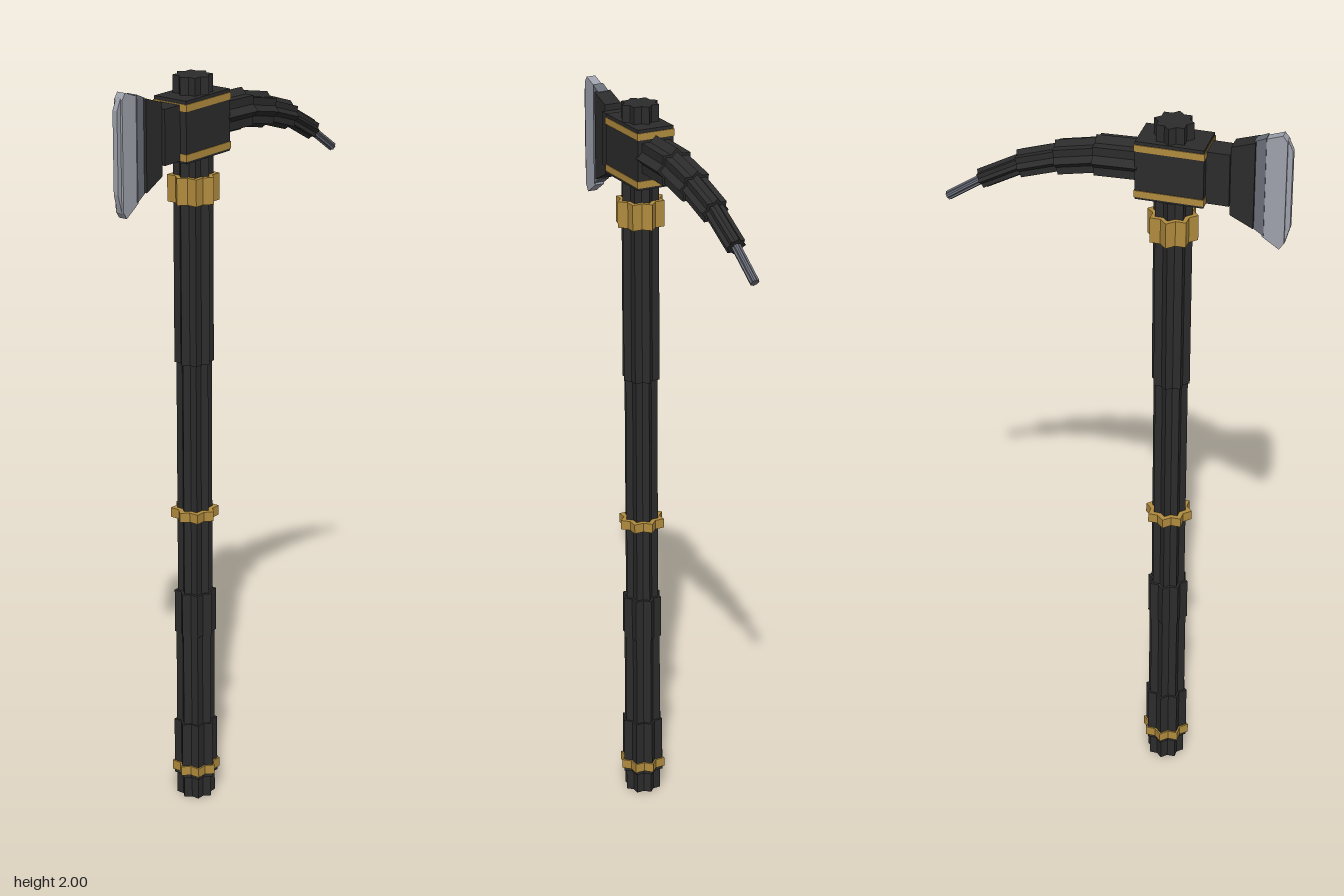
import * as THREE from 'three';

const mat = (name, color) => {
  const m = new THREE.MeshStandardMaterial({ color });
  m.name = name;
  return m;
};

export function createModel() {
  const black = mat('black', 0x2c2c2c);
  const gold = mat('gold', 0xb28c3e);
  const steel = mat('steel', 0x9fa3ad);
  const darkSteel = mat('dark steel', 0x6a6e78);

  const group = new THREE.Group();
  const AX = -0.15; // shaft axis
  const HY = 1.868; // head centre height

  const add = (name, geometry, material) => {
    const mesh = new THREE.Mesh(geometry, material);
    mesh.name = name;
    group.add(mesh);
    return mesh;
  };

  // Eight-pointed prism (two crossed squares) along +z
  const star = (r, length) => {
    const pts = [];
    for (let i = 0; i < 16; i++) {
      const a = (i * Math.PI) / 8;
      const q = i % 2 ? r * 0.7654 : r;
      pts.push(new THREE.Vector2(Math.cos(a) * q, Math.sin(a) * q));
    }
    return new THREE.ExtrudeGeometry(new THREE.Shape(pts), { depth: length, bevelEnabled: false });
  };

  // Upright star section on the shaft axis
  const section = (name, r, y0, y1, material) => {
    const g = star(r, y1 - y0);
    g.rotateX(-Math.PI / 2);
    g.translate(AX, y0, 0);
    return add(name, g, material);
  };

  // Flat plate cut from an x-y outline, centred on z = 0
  const plate = (name, outline, halfZ, material) => {
    const shape = new THREE.Shape(outline.map(([x, y]) => new THREE.Vector2(x, y)));
    const g = new THREE.ExtrudeGeometry(shape, { depth: halfZ * 2, bevelEnabled: false });
    g.translate(0, 0, -halfZ);
    return add(name, g, material);
  };

  const box = (name, x0, x1, y0, y1, halfZ, material) => {
    const g = new THREE.BoxGeometry(x1 - x0, y1 - y0, halfZ * 2);
    g.translate((x0 + x1) / 2, (y0 + y1) / 2, 0);
    return add(name, g, material);
  };

  // Shaft, from the pommel to the cap
  section('pommel', 0.051, 0, 0.06, black);
  section('lowerGrip', 0.058, 0.06, 0.22, black);
  section('grip', 0.051, 0.22, 0.48, black);
  section('upperGrip', 0.055, 0.48, 0.6, black);
  section('shaft', 0.046, 0.6, 1.24, black);
  section('upperShaft', 0.051, 1.24, 1.8, black);
  section('cap', 0.051, 1.9, 1.992, black);

  // Gold fittings
  section('pommelRing', 0.064, 0.07, 0.096, gold);
  section('shaftRing', 0.063, 0.81, 0.836, gold);
  section('collar', 0.066, 1.668, 1.738, gold);

  // Head block with two gold bands
  box('headBlock', -0.24, -0.065, 1.788, 1.947, 0.051, black);
  box('upperBand', -0.242, -0.063, 1.92, 1.938, 0.053, gold);
  box('lowerBand', -0.242, -0.063, 1.794, 1.812, 0.053, gold);

  // Axe neck and stepped flare
  box('axeNeck', -0.3, -0.24, 1.793, 1.935, 0.032, black);
  plate('axeFlare', [[-0.36, 1.735], [-0.3, 1.765], [-0.3, 1.952], [-0.36, 1.972]], 0.023, black);
  plate('axeCheek', [[-0.385, 1.715], [-0.355, 1.735], [-0.355, 1.972], [-0.385, 1.985]], 0.015, darkSteel);

  // Blade body and its thinner cutting edge
  plate('blade', [
    [-0.437, 1.7], [-0.425, 1.682], [-0.38, 1.712], [-0.38, 1.98], [-0.425, 1.996], [-0.437, 1.98],
  ], 0.0125, steel);
  plate('bladeEdge', [
    [-0.45, 1.745], [-0.436, 1.695], [-0.436, 1.985], [-0.45, 1.955],
  ], 0.007, steel);

  // Curved pick built from tapering straight segments
  const path = [[-0.07, 1.873], [0.04, 1.869], [0.14, 1.848], [0.24, 1.815], [0.345, 1.757], [0.438, 1.693]];
  const radii = [0.055, 0.047, 0.038, 0.027, 0.0125];
  radii.forEach((r, i) => {
    const a = new THREE.Vector3(path[i][0], path[i][1], 0);
    const b = new THREE.Vector3(path[i + 1][0], path[i + 1][1], 0);
    const dir = b.clone().sub(a);
    const g = star(r, dir.length() + 0.006);
    g.rotateY(Math.PI / 2);
    g.rotateZ(Math.atan2(dir.y, dir.x));
    g.translate(a.x, a.y, 0);
    const tip = i === radii.length - 1;
    add(tip ? 'pickTip' : 'pickSegment' + (i + 1), g, tip ? darkSteel : black);
  });

  return group;
}
